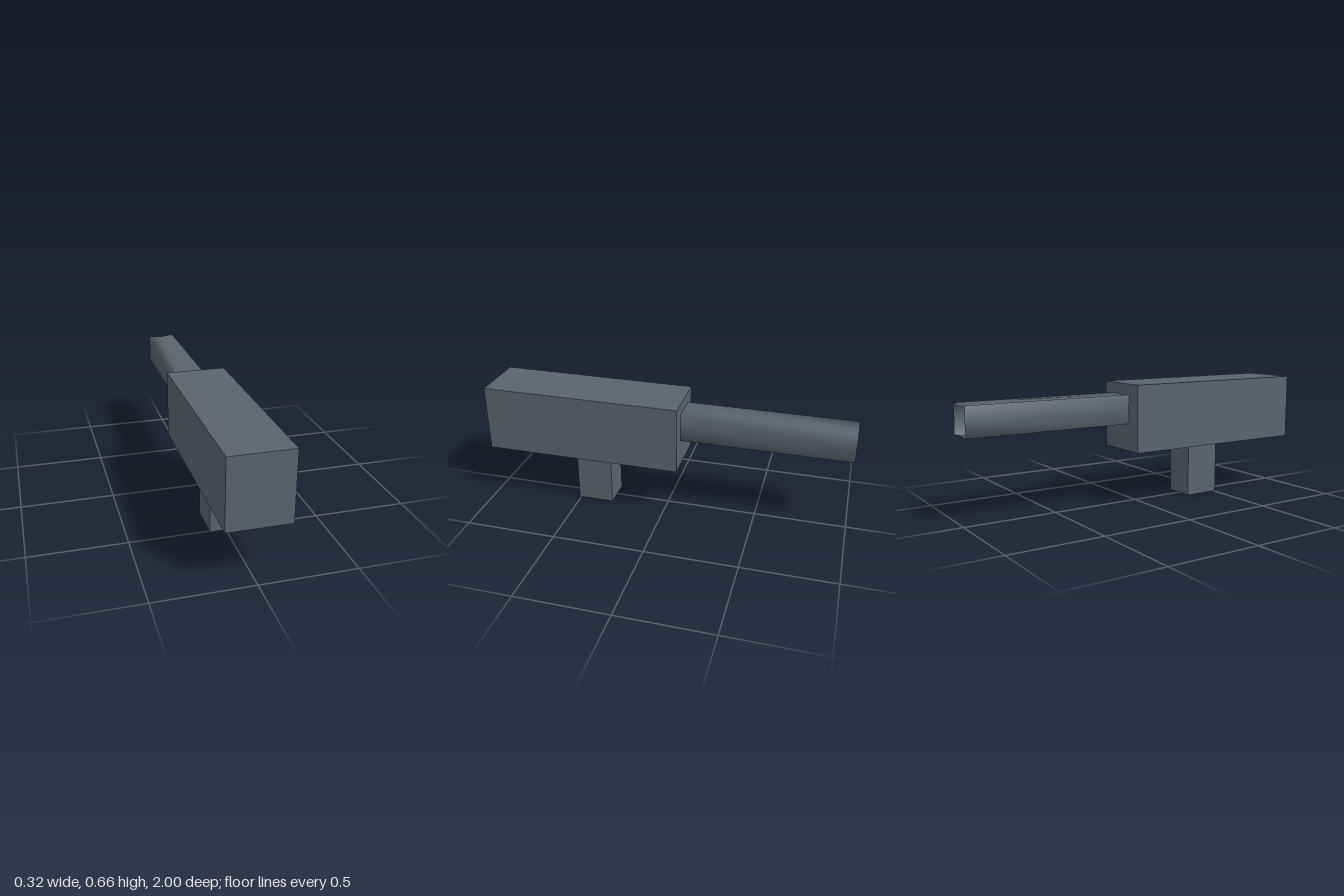
import * as THREE from 'three';
import { mergeVertices } from 'three/addons/utils/BufferGeometryUtils.js';

const gunmetal = new THREE.MeshStandardMaterial({ color: 0x5c636d, side: THREE.DoubleSide });
gunmetal.name = 'gunmetal';

function box(name, width, y0, y1, z0, z1) {
  const mesh = new THREE.Mesh(new THREE.BoxGeometry(width, y1 - y0, z1 - z0), gunmetal);
  mesh.name = name;
  mesh.position.set(0, (y0 + y1) / 2, (z0 + z1) / 2);
  return mesh;
}

// Open square tube with slightly hollowed sides and smooth shading
function barrel(half, dent, y, z0, z1) {
  const tube = new THREE.CylinderGeometry(1, 1, z1 - z0, 8, 1, true);
  const pos = tube.attributes.position;
  for (let i = 0; i < pos.count; i++) {
    const x = pos.getX(i), z = pos.getZ(i);
    const corner = Math.abs(x * z) > 0.1;
    const r = corner ? half * Math.SQRT2 : half - dent;
    pos.setX(i, x * r);
    pos.setZ(i, z * r);
  }
  tube.deleteAttribute('uv');
  tube.deleteAttribute('normal');
  const geometry = mergeVertices(tube, 1e-5);
  geometry.rotateX(Math.PI / 2);
  geometry.computeVertexNormals();
  const mesh = new THREE.Mesh(geometry, gunmetal);
  mesh.name = 'barrel';
  mesh.position.set(0, y, (z0 + z1) / 2);
  return mesh;
}

export function createModel() {
  const model = new THREE.Group();
  model.name = 'blaster';
  model.add(
    box('body', 0.32, 0.297, 0.66, -0.088, 1),
    box('grip', 0.17, 0, 0.297, 0.31, 0.51),
    barrel(0.079, 0.008, 0.525, -1, -0.088),
  );
  return model;
}
